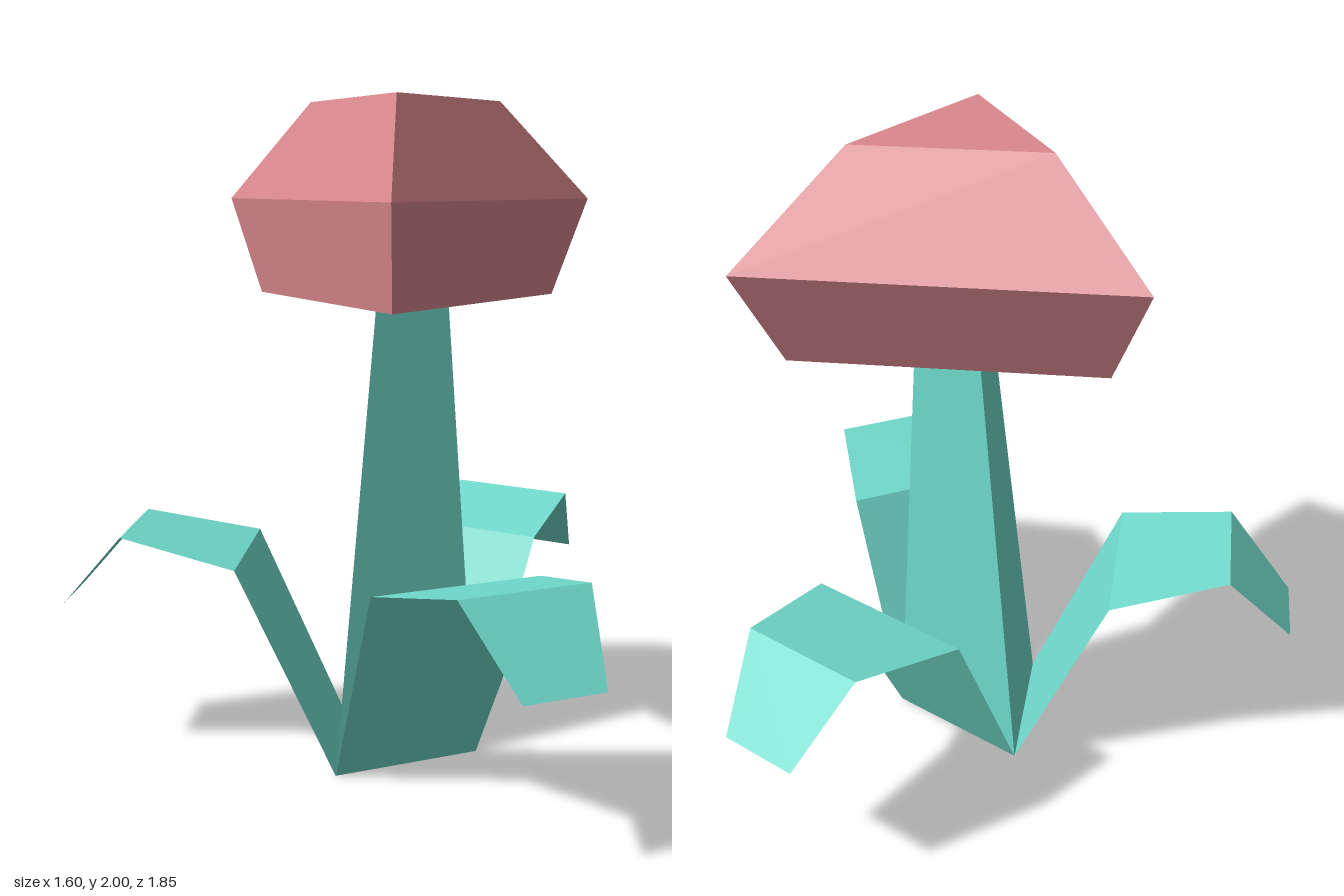
import * as THREE from 'three';

const leafGreen = new THREE.MeshStandardMaterial({ color: 0x70dacb, flatShading: true, side: THREE.DoubleSide });
leafGreen.name = 'leafGreen';
const stemGreen = leafGreen;
const blossomPink = new THREE.MeshStandardMaterial({ color: 0xda888e, flatShading: true });
blossomPink.name = 'blossomPink';

function facets(points, name, material) {
  const geometry = new THREE.BufferGeometry().setFromPoints(points);
  geometry.computeVertexNormals();
  const mesh = new THREE.Mesh(geometry, material);
  mesh.name = name;
  return mesh;
}

// Closed three-sided solid through rings of { y, r, x, z }, first corner at the given angle
function triangularLoft(rings, angle, name, material) {
  const loops = rings.map(({ y, r, x, z }) => [0, 1, 2].map((i) => {
    const a = angle + (i * Math.PI * 2) / 3;
    return new THREE.Vector3(x + r * Math.cos(a), y, z + r * Math.sin(a));
  }));
  const points = [...loops[0]];
  for (let k = 0; k < loops.length - 1; k++) {
    const low = loops[k], high = loops[k + 1];
    for (let i = 0; i < 3; i++) {
      const j = (i + 1) % 3;
      points.push(low[i], high[i], low[j], low[j], high[i], high[j]);
    }
  }
  points.push(...[...loops[loops.length - 1]].reverse());
  return facets(points, name, material);
}

// Folded leaf sheet pointing along +x, through stations [distance, height, half width]
function leaf(name) {
  const stations = [[0.14, 0, 0.242], [0.437, 0.635, 0.275], [0.794, 0.71, 0.205], [0.993, 0.48, 0.127]];
  const points = [];
  for (let k = 0; k < stations.length - 1; k++) {
    const [x0, y0, w0] = stations[k], [x1, y1, w1] = stations[k + 1];
    const a = new THREE.Vector3(x0, y0, w0), b = new THREE.Vector3(x1, y1, w1);
    const c = new THREE.Vector3(x1, y1, -w1), d = new THREE.Vector3(x0, y0, -w0);
    points.push(a, b, c, a, c, d);
  }
  return facets(points, name, leafGreen);
}

export function createModel() {
  const model = new THREE.Group();
  model.name = 'flower';

  // Tapered stem
  model.add(triangularLoft([
    { y: 0, r: 0.28, x: 0.193, z: 0 },
    { y: 1.42, r: 0.138, x: 0.23, z: 0 },
  ], 0, 'stem', stemGreen));

  // Blossom, slightly skewed from ring to ring
  model.add(triangularLoft([
    { y: 1.415, r: 0.53, x: 0.228, z: 0 },
    { y: 1.71, r: 0.659, x: 0.228, z: -0.037 },
    { y: 2, r: 0.329, x: 0.228, z: 0.05 },
  ], Math.PI / 2, 'blossom', blossomPink));

  // One leaf on each side of the stem
  ['frontLeaf', 'sideLeaf', 'backLeaf'].forEach((name, i) => {
    const mesh = leaf(name);
    mesh.position.x = 0.193;
    mesh.rotation.y = -Math.PI / 3 - (i * Math.PI * 2) / 3;
    model.add(mesh);
  });
  return model;
}
